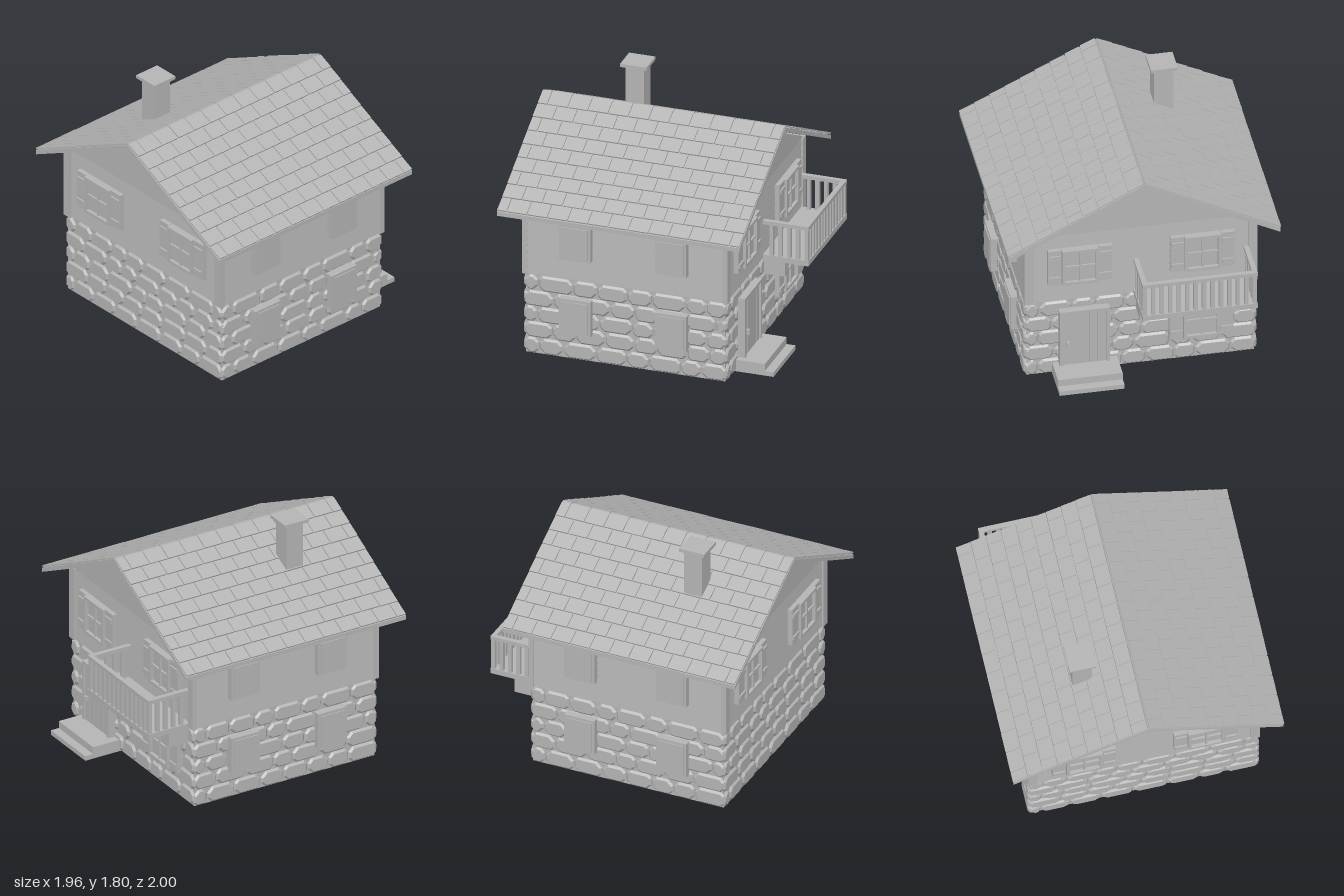
import * as THREE from 'three';
import { mergeGeometries } from 'three/addons/utils/BufferGeometryUtils.js';

const gray = new THREE.MeshStandardMaterial({ color: 0xb4b4b4 });
gray.name = 'plain gray';

// House walls: outer half width, half depth and centre in z
const HW = 0.835, HD = 0.76, CZ = 0.095;

let seed = 7;
const rand = (a, b) => {
  seed = (seed * 16807) % 2147483647;
  return a + (b - a) * seed / 2147483647;
};

// Box from its limits
function box(x0, x1, y0, y1, z0, z1) {
  return new THREE.BoxGeometry(x1 - x0, y1 - y0, z1 - z0)
    .translate((x0 + x1) / 2, (y0 + y1) / 2, (z0 + z1) / 2);
}

function part(parent, name, geometries) {
  const list = [geometries].flat().map(g => (g.index ? g.toNonIndexed() : g));
  const mesh = new THREE.Mesh(mergeGeometries(list), gray);
  mesh.name = name;
  parent.add(mesh);
  return mesh;
}

// Group whose local z = 0 is the outer surface of a wall, +z pointing outwards
function wallFrame(parent, name, angle, distance) {
  const g = new THREE.Group();
  g.name = name;
  g.rotation.y = angle;
  g.position.set(Math.sin(angle) * distance, 0, CZ + Math.cos(angle) * distance);
  parent.add(g);
  return g;
}

// Rough field stone: octagon with bevelled rim
function stone(x0, x1, y0, y1) {
  const b = 0.014, c = () => rand(0.015, 0.034);
  const [l, r, d, u] = [x0 + b, x1 - b, y0 + b, y1 - b];
  const [p, q, s, t] = [c(), c(), c(), c()];
  const pts = [[l + p, d], [r - q, d], [r, d + q], [r, u - s], [r - s, u], [l + t, u], [l, u - t], [l, d + p]];
  const shape = new THREE.Shape(pts.map(([x, y]) => new THREE.Vector2(x, y)));
  return new THREE.ExtrudeGeometry(shape, {
    depth: 0.012, bevelEnabled: true, bevelSegments: 1, bevelSize: b, bevelThickness: 0.014,
  }).translate(0, 0, -0.026);
}

// Five courses of stones of uneven width
function stoneWall(wall, half) {
  const stones = [], h = 0.122;
  for (let row = 0; row < 5; row++) {
    let x = -half + 0.004, w = row % 2 ? rand(0.18, 0.24) : rand(0.09, 0.12);
    while (x < half - 0.03) {
      let end = x + w;
      if (half - end < 0.08) end = half - 0.004;
      stones.push(stone(x + 0.003, end - 0.003, row * h + 0.004, (row + 1) * h));
      x = end;
      w = rand(0.15, 0.26);
    }
  }
  part(wall, 'stones', stones);
}

// Overlapping horizontal boards
function planks(wall, half) {
  const boards = [];
  for (let i = 0; i < 10; i++) {
    boards.push(new THREE.BoxGeometry(2 * half - 0.03, 0.053, 0.016)
      .rotateX(-0.1).translate(0, 0.648 + i * 0.056, -0.014));
  }
  part(wall, 'planks', boards);
}

// Rectangular frame of four bars
function frame(x0, x1, y0, y1, t, z0, z1) {
  return [
    box(x0, x0 + t, y0, y1, z0, z1), box(x1 - t, x1, y0, y1, z0, z1),
    box(x0 + t, x1 - t, y0, y0 + t, z0, z1), box(x0 + t, x1 - t, y1 - t, y1, z0, z1),
  ];
}

// Four-pane window with a pair of shutters
function shutteredWindow(wall, x, y0) {
  const y1 = y0 + 0.29, ym = (y0 + y1) / 2, w = 0.13;
  part(wall, 'windowFrame', frame(x - w, x + w, y0, y1, 0.022, -0.02, 0.05));
  part(wall, 'windowPanes', box(x - w + 0.02, x + w - 0.02, y0 + 0.02, y1 - 0.02, -0.02, 0.025));
  part(wall, 'windowBars', [
    box(x - 0.007, x + 0.007, y0 + 0.02, y1 - 0.02, 0.02, 0.04),
    box(x - w + 0.02, x + w - 0.02, ym - 0.007, ym + 0.007, 0.02, 0.04),
  ]);
  for (const s of [-1, 1]) {
    const a = x + s * (w + 0.002), b = x + s * (w + 0.1);
    const [l, r] = [Math.min(a, b), Math.max(a, b)];
    part(wall, 'shutter', [
      box(l, r, y0, y1, -0.02, 0.03),
      box(l + 0.006, r - 0.006, y0 + 0.04, y0 + 0.07, 0.03, 0.042),
      box(l + 0.006, r - 0.006, y1 - 0.07, y1 - 0.04, 0.03, 0.042),
    ]);
  }
}

// Closed window on the long sides: slab with a raised panel
function closedWindow(wall, x, y0) {
  part(wall, 'sideWindow', [
    box(x - 0.118, x + 0.118, y0, y0 + 0.275, -0.02, 0.042),
    box(x - 0.097, x + 0.097, y0 + 0.02, y0 + 0.255, 0.042, 0.05),
  ]);
}

function addDoor(wall, x) {
  part(wall, 'doorFrame', [
    box(x - 0.18, x - 0.155, 0, 0.55, -0.02, 0.052), box(x + 0.155, x + 0.18, 0, 0.55, -0.02, 0.052),
    box(x - 0.155, x + 0.155, 0.525, 0.55, -0.02, 0.052),
  ]);
  const boards = [];
  for (let i = 0; i < 5; i++) {
    const l = x - 0.155 + i * 0.062;
    boards.push(box(l + 0.003, l + 0.059, 0.09, 0.525, 0, 0.04));
  }
  part(wall, 'doorBoards', [box(x - 0.155, x + 0.155, 0, 0.525, -0.02, 0.032), ...boards]);
  part(wall, 'doorHandle', box(x - 0.13, x - 0.112, 0.25, 0.29, 0.04, 0.068));
}

function addBalcony(parent) {
  const g = new THREE.Group();
  g.name = 'balcony';
  parent.add(g);
  const x0 = -0.775, x1 = 0.05, z0 = -1, z1 = -0.65;
  part(g, 'balconyFloor', box(x0, x1, 0.605, 0.645, z0, z1));
  for (const x of [-0.72, -0.005]) part(g, 'balconyBeam', box(x - 0.04, x + 0.04, 0.49, 0.605, -0.82, z1));
  part(g, 'handrail', [
    box(x0, x1, 0.882, 0.91, z0, z0 + 0.035),
    box(x0, x0 + 0.035, 0.882, 0.91, z0 + 0.035, z1), box(x1 - 0.035, x1, 0.882, 0.91, z0 + 0.035, z1),
  ]);
  const bars = [];
  const bar = (x, z) => bars.push(box(x - 0.014, x + 0.014, 0.645, 0.882, z - 0.014, z + 0.014));
  for (let i = 0; i <= 13; i++) bar(x0 + 0.018 + i * (x1 - x0 - 0.036) / 13, z0 + 0.018);
  for (let i = 1; i <= 4; i++) for (const x of [x0 + 0.018, x1 - 0.018]) bar(x, z0 + 0.018 + i * 0.065);
  part(g, 'balusters', bars);
}

// Gabled roof deck with nine staggered shingle rows on each slope
function addRoof(parent) {
  const g = new THREE.Group();
  g.name = 'roof';
  parent.add(g);
  const z0 = -0.81, z1 = 1, w = 0.975, drop = 0.5;
  const deck = new THREE.Shape([[0, 1.605], [w, 1.105], [w, 1.138], [0, 1.638], [-w, 1.138], [-w, 1.105]]
    .map(([x, y]) => new THREE.Vector2(x, y)));
  part(g, 'roofDeck', new THREE.ExtrudeGeometry(deck, { depth: z1 - z0, bevelEnabled: false }).translate(0, 0, z0));
  const slope = Math.atan2(drop, w), rowLen = Math.hypot(w, drop) / 9, len = (z1 - z0) / 12;
  for (const s of [-1, 1]) {
    const tiles = [];
    for (let row = 0; row < 9; row++) {
      const shift = row % 2 ? 0 : -len / 2;
      for (let i = 0; i <= 12; i++) {
        const a = Math.max(z0, z0 + shift + i * len), b = Math.min(z1, z0 + shift + (i + 1) * len);
        if (b - a < 0.02) continue;
        tiles.push(new THREE.BoxGeometry(rowLen - 0.005, 0.012, b - a - 0.007)
          .rotateZ(s * 0.04)
          .translate(s * (row + 0.5) * rowLen, 0.007 + rand(0, 0.003), (a + b) / 2)
          .rotateZ(-s * slope).translate(0, 1.638, 0));
      }
    }
    part(g, s > 0 ? 'leftShingles' : 'rightShingles', tiles);
  }
}

export function createModel() {
  const model = new THREE.Group();
  model.name = 'house';

  // Solid cores behind the stones and boards, and the gable attic
  part(model, 'stoneBase', box(-HW + 0.018, HW - 0.018, 0, 0.615, CZ - HD + 0.018, CZ + HD - 0.018));
  part(model, 'upperWalls', box(-HW + 0.02, HW - 0.02, 0.61, 1.18, CZ - HD + 0.02, CZ + HD - 0.02));
  const gable = new THREE.Shape([[-0.81, 1.178], [0.81, 1.178], [0, 1.594]].map(([x, y]) => new THREE.Vector2(x, y)));
  part(model, 'gable', new THREE.ExtrudeGeometry(gable, { depth: 2 * HD - 0.01, bevelEnabled: false })
    .translate(0, 0, CZ - HD + 0.005));

  const front = wallFrame(model, 'frontWall', 0, HD);
  const back = wallFrame(model, 'backWall', Math.PI, HD);
  const left = wallFrame(model, 'leftWall', Math.PI / 2, HW);
  const right = wallFrame(model, 'rightWall', -Math.PI / 2, HW);

  for (const wall of [front, back]) {
    stoneWall(wall, HW);
    planks(wall, HW);
    part(wall, 'cornerBoards', [-1, 1].map(s =>
      box(s * 0.803 - 0.032, s * 0.803 + 0.032, 0.615, 1.18, -0.03, 0.008)));
    for (const x of [-0.44, 0.44]) shutteredWindow(wall, x, 0.78);
  }
  [left, right].forEach((wall, i) => {
    stoneWall(wall, HD);
    planks(wall, HD);
    for (const z of [0.455, -0.26]) for (const y of [0.21, 0.79]) closedWindow(wall, (i ? 1 : -1) * (z - CZ), y);
  });

  // Back entrance: door, steps, lower window and balcony
  addDoor(back, -0.41);
  shutteredWindow(back, 0.43, 0.2);
  part(model, 'steps', [box(0.17, 0.635, 0, 0.035, -0.945, -0.65), box(0.17, 0.635, 0.035, 0.09, -0.88, -0.65)]);
  addBalcony(model);

  addRoof(model);
  part(model, 'chimney', [
    box(-0.432, -0.292, 1.3, 1.78, 0.345, 0.485),
    box(-0.458, -0.265, 1.78, 1.805, 0.318, 0.515),
  ]);
  return model;
}
